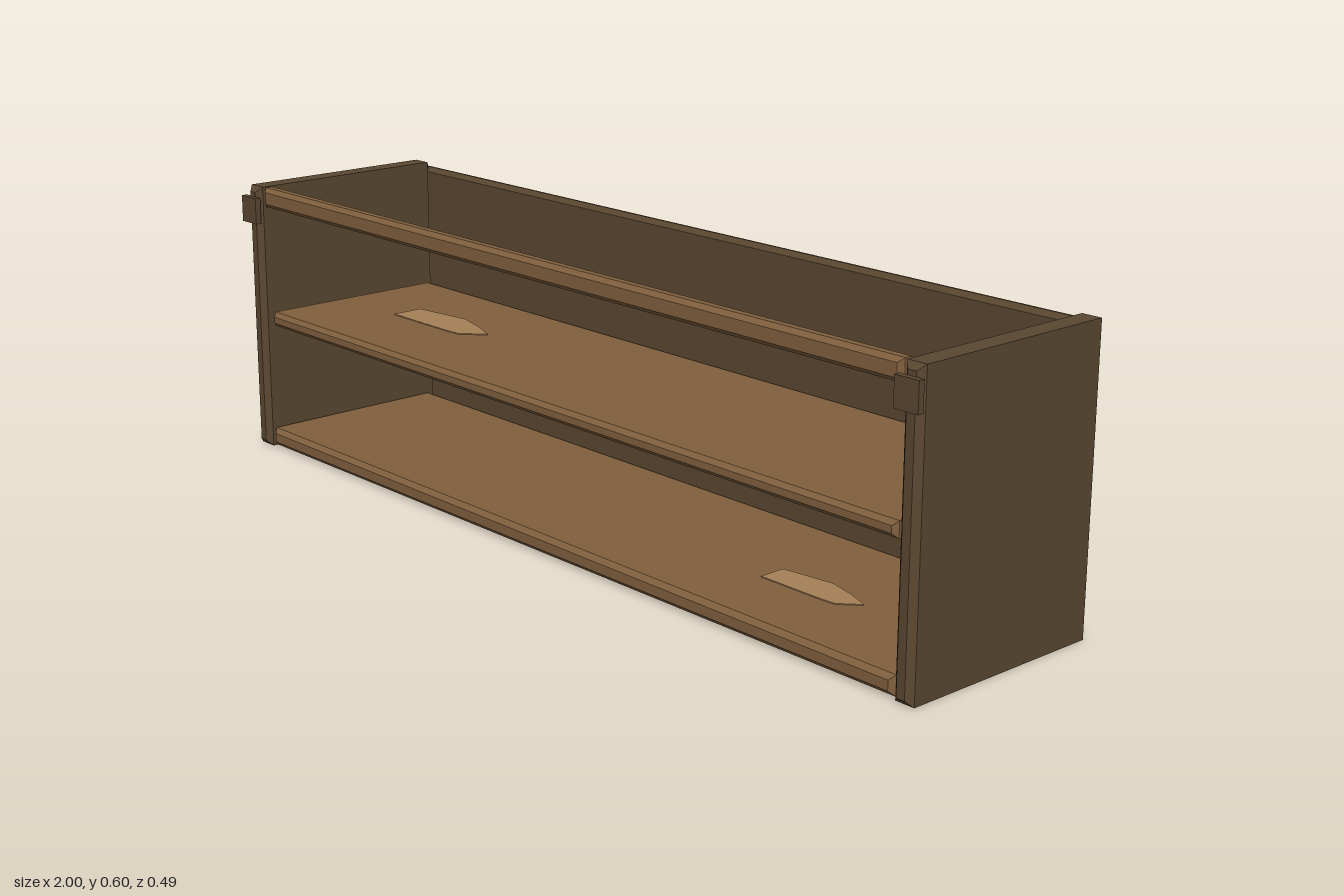
import * as THREE from 'three';

const darkWood = new THREE.MeshStandardMaterial({ color: 0x5a4730 });
const lightWood = new THREE.MeshStandardMaterial({ color: 0x80603e });
const wornWood = new THREE.MeshStandardMaterial({ color: 0xa58056 });
darkWood.name = 'darkWood';
lightWood.name = 'lightWood';
wornWood.name = 'wornWood';

// Board between two corners, with every edge chamfered by c
function board(name, material, [x0, y0, z0], [x1, y1, z1], c) {
  const shape = new THREE.Shape();
  shape.moveTo(x0 + c, y0 + c);
  shape.lineTo(x1 - c, y0 + c);
  shape.lineTo(x1 - c, y1 - c);
  shape.lineTo(x0 + c, y1 - c);
  shape.closePath();
  const geometry = new THREE.ExtrudeGeometry(shape, {
    depth: z1 - z0 - 2 * c, bevelEnabled: true, bevelSize: c, bevelThickness: c, bevelSegments: 1,
  });
  geometry.translate(0, 0, z0 + c);
  const mesh = new THREE.Mesh(geometry, material);
  mesh.name = name;
  return mesh;
}

// Thin polygonal plate, drawn in x and y
function plate(name, material, points, depth) {
  const shape = new THREE.Shape(points.map(([x, y]) => new THREE.Vector2(x, y)));
  const mesh = new THREE.Mesh(new THREE.ExtrudeGeometry(shape, { depth, bevelEnabled: false }), material);
  mesh.name = name;
  return mesh;
}

export function createModel() {
  const group = new THREE.Group();
  group.name = 'openShelf';

  // End panels and the small blocks on their front edges
  for (const [side, s] of [['left', 1], ['right', -1]]) {
    const xs = [s * 0.952, s * 0.995].sort((a, b) => a - b);
    group.add(board(side + 'EndPanel', darkWood, [xs[0], 0, -0.243], [xs[1], 0.6, 0.235], 0.012));
    const block = new THREE.Mesh(new THREE.BoxGeometry(0.054, 0.058, 0.013), darkWood);
    block.name = side + 'FrontBlock';
    block.position.set(s * 0.973, 0.549, 0.2405);
    group.add(block);
  }

  // Back, floor, shelf and top front rail
  group.add(board('backPanel', darkWood, [-0.945, 0.004, -0.243], [0.945, 0.592, -0.218], 0.01));
  group.add(board('bottomShelf', lightWood, [-0.947, 0.003, -0.222], [0.947, 0.043, 0.226], 0.01));
  group.add(board('middleShelf', lightWood, [-0.938, 0.284, -0.222], [0.938, 0.316, 0.221], 0.009));
  group.add(board('topRail', lightWood, [-0.944, 0.556, 0.195], [0.944, 0.6, 0.228], 0.009));

  // Worn patches lying on the two shelves
  const patch = [[-0.14, -0.038], [0.05, -0.038], [0.09, -0.035], [0.138, 0.009],
    [0.074, 0.034], [0, 0.053], [-0.14, 0.034]];
  for (const [name, x, y, z, size] of [
    ['middleShelfPatch', -0.6, 0.316, -0.011, 1],
    ['bottomShelfPatch', 0.58, 0.043, 0.03, 0.82],
  ]) {
    const mesh = plate(name, wornWood, patch, 0.002);
    mesh.rotation.x = -Math.PI / 2;
    mesh.position.set(x, y, z);
    mesh.scale.set(size, size, 1);
    group.add(mesh);
  }

  // Shallow raised scuffs on the back
  for (const [x, y, w, h] of [[-0.21, 0.497, 0.036, 0.044], [-0.4, 0.279, 0.2, 0.014], [0.545, 0.223, 0.21, 0.022]]) {
    const scuff = plate('backScuff', darkWood,
      [[-w / 2, 0], [0, -h / 2], [w / 2, -h / 4], [w / 4, h / 2], [-w / 4, h / 2]], 0.002);
    scuff.position.set(x, y, -0.245);
    group.add(scuff);
  }
  return group;
}
